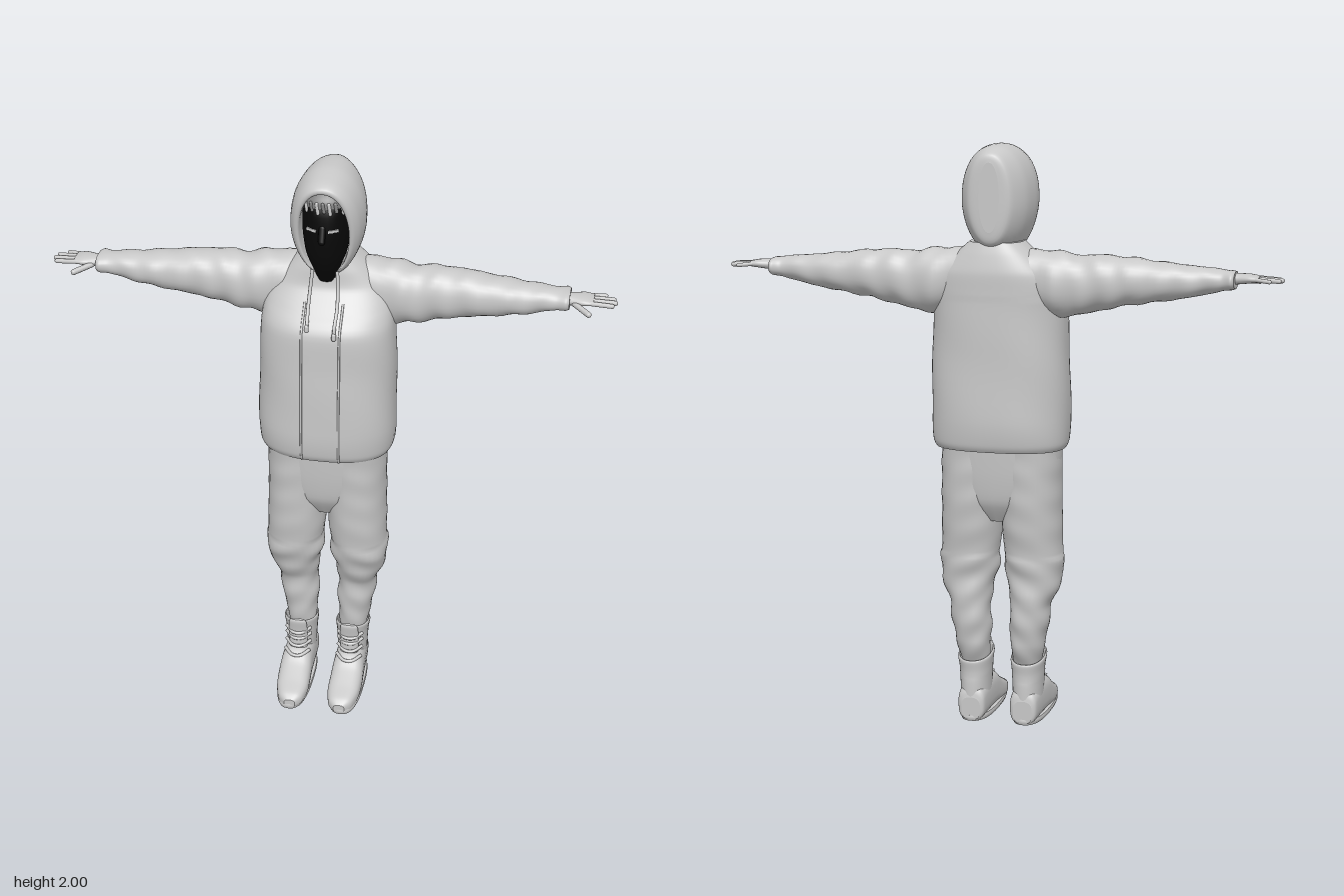
import * as THREE from 'three';

const mat = (name, color) => Object.assign(new THREE.MeshStandardMaterial({ color }), { name });

// Smooth interpolation through rows of numbers, t from 0 to rows.length - 1
function sample(rows, t) {
  const i = Math.min(Math.floor(t), rows.length - 2), f = t - i;
  const at = k => rows[Math.max(0, Math.min(rows.length - 1, k))];
  const [a, b, c, d] = [at(i - 1), at(i), at(i + 1), at(i + 2)];
  return b.map((_, k) => {
    const m0 = (c[k] - a[k]) * 0.4, m1 = (d[k] - b[k]) * 0.4, f2 = f * f, f3 = f2 * f;
    return (2 * f3 - 3 * f2 + 1) * b[k] + (f3 - 2 * f2 + f) * m0 + (3 * f2 - 2 * f3) * c[k] + (f3 - f2) * m1;
  });
}

// Rounded cross-sections along an axis: [position, centreU, centreV, radiusU, radiusV]
// (u,v) = (y,z) along x, (z,x) along y, (x,y) along z
function loft(axis, rows, { n = 2.2, seg = 32, steps = 5, wave = () => 0, bend = () => {} } = {}) {
  const pos = [], idx = [], total = (rows.length - 1) * steps, p = new THREE.Vector3();
  const put = (w, u, v) => {
    if (axis === 'x') p.set(w, u, v);
    else if (axis === 'y') p.set(v, w, u);
    else p.set(u, v, w);
    bend(p);
    pos.push(p.x, p.y, p.z);
  };
  const pw = x => Math.sign(x) * Math.abs(x) ** (2 / n);
  for (let i = 0; i <= total; i++) {
    const [w, cu, cv, ru, rv] = sample(rows, i / steps);
    for (let j = 0; j < seg; j++) {
      const a = j / seg * Math.PI * 2, s = 1 + wave(w, a);
      put(w, cu + ru * s * pw(Math.cos(a)), cv + rv * s * pw(Math.sin(a)));
    }
  }
  for (let i = 0; i < total; i++) for (let j = 0; j < seg; j++) {
    const a = i * seg + j, b = i * seg + (j + 1) % seg;
    idx.push(a, b, b + seg, a, b + seg, a + seg);
  }
  // end caps with their own vertices, so the rims stay crisp
  for (const end of [0, 1]) {
    const from = end * total * seg, base = pos.length / 3, r = rows[end ? rows.length - 1 : 0];
    for (let j = 0; j < seg * 3; j++) pos.push(pos[from * 3 + j]);
    put(r[0], r[1], r[2]);
    for (let j = 0; j < seg; j++) {
      const a = base + j, b = base + (j + 1) % seg, c = base + seg;
      idx.push(...(end ? [a, b, c] : [b, a, c]));
    }
  }
  const g = new THREE.BufferGeometry();
  g.setAttribute('position', new THREE.Float32BufferAttribute(pos, 3));
  g.setIndex(idx);
  g.computeVertexNormals();
  return g;
}

function mirrored(geo) {
  const g = geo.clone(), ix = g.index.array, ps = g.attributes.position;
  for (let i = 0; i < ps.count; i++) {
    ps.setX(i, -ps.getX(i));
    g.attributes.normal.setX(i, -g.attributes.normal.getX(i));
  }
  for (let i = 0; i < ix.length; i += 3) [ix[i], ix[i + 1]] = [ix[i + 1], ix[i]];
  return g;
}

const V = a => new THREE.Vector3(...a);
const tube = (pts, r) => new THREE.TubeGeometry(new THREE.CatmullRomCurve3(pts.map(V)), 24, r, 8);

// Capsule between two points
function finger(a, b, r) {
  const A = V(a), d = V(b).sub(A), len = d.length();
  const g = new THREE.CapsuleGeometry(r, len - r, 5, 10);
  g.applyQuaternion(new THREE.Quaternion().setFromUnitVectors(new THREE.Vector3(0, 1, 0), d.clone().normalize()));
  return g.translate(A.x + d.x / 2, A.y + d.y / 2, A.z + d.z / 2);
}

export function createModel() {
  const model = new THREE.Group();
  const cloth = mat('light grey cloth', 0xc8c8c8);
  const black = mat('black mask', 0x080808);
  const hairGrey = mat('grey hair', 0x808080);
  const add = (name, geo, m = cloth) => {
    const mesh = new THREE.Mesh(geo, m);
    mesh.name = name;
    model.add(mesh);
    return mesh;
  };
  const pair = (name, geo, m) => {
    add('left ' + name, geo, m);
    add('right ' + name, mirrored(geo), m);
  };

  // Jacket body
  const jacket = [
    [0.975, -0.055, 0, 0.155, 0.222], [1.0, -0.055, 0, 0.166, 0.232], [1.08, -0.055, 0, 0.173, 0.236],
    [1.3, -0.058, 0, 0.167, 0.232], [1.45, -0.062, 0, 0.163, 0.226], [1.52, -0.088, 0, 0.137, 0.216],
    [1.58, -0.112, 0, 0.112, 0.19], [1.64, -0.112, 0, 0.1, 0.135], [1.68, -0.11, 0, 0.09, 0.09]];
  const folds = (y, a) => 0.012 * Math.sin(3 * a + y * 14) * Math.sin(y * 9) * (y < 1.5 ? 1 : 0.3);
  add('jacket', loft('y', jacket, { n: 2.5, seg: 64, steps: 6, wave: folds }));

  // Front panel edges follow the chest
  for (const x of [-0.064, 0.064]) {
    const pts = [];
    for (let i = 0; i <= 24; i++) {
      const [y, cz, , rz, rx] = sample(jacket, i / 24 * 5.4);
      const a = Math.acos((1 - Math.abs(x / rx) ** 2.5) ** 0.5) * Math.sign(x);
      pts.push([x, y, cz + rz * (1 + folds(y, a)) * (1 - Math.abs(x / rx) ** 2.5) ** 0.4]);
    }
    add('front panel seam', tube(pts, 0.004));
  }

  // Sleeves with soft wrinkles
  pair('sleeve', loft('x', [
    [0.06, 1.59, -0.12, 0.065, 0.07], [0.2, 1.545, -0.115, 0.108, 0.088], [0.28, 1.54, -0.11, 0.1, 0.084],
    [0.36, 1.55, -0.11, 0.092, 0.08], [0.45, 1.557, -0.108, 0.08, 0.077], [0.6, 1.56, -0.103, 0.06, 0.068],
    [0.7, 1.565, -0.1, 0.046, 0.055], [0.76, 1.57, -0.1, 0.035, 0.05], [0.79, 1.57, -0.102, 0.033, 0.06],
    [0.802, 1.57, -0.1, 0.029, 0.052]],
  { steps: 8, wave: (x, a) => 0.045 * Math.sin(x * 62 + 2 * Math.sin(a)) * Math.sin(a * 2 + x * 9) }));

  // Hands
  pair('palm', loft('x', [
    [0.77, 1.575, -0.095, 0.019, 0.028], [0.81, 1.575, -0.093, 0.018, 0.032],
    [0.85, 1.577, -0.095, 0.015, 0.042], [0.88, 1.576, -0.095, 0.01, 0.038]], { seg: 20 }));
  const fingers = [[-0.127, -0.14, 0.92, 0.007], [-0.106, -0.115, 0.948, 0.008],
    [-0.085, -0.09, 0.955, 0.0085], [-0.064, -0.066, 0.945, 0.008]];
  for (const [z0, z1, tip, r] of fingers) pair('finger', finger([0.865, 1.577, z0], [tip, 1.572, z1], r));
  pair('thumb', finger([0.815, 1.57, -0.07], [0.872, 1.56, -0.012], 0.01));

  // Trousers
  add('trouser hips', loft('y', [[0.72, -0.05, 0, 0.075, 0.05], [0.79, -0.05, 0, 0.115, 0.16],
    [0.88, -0.05, 0, 0.13, 0.202], [0.99, -0.05, 0, 0.138, 0.208]], { n: 2.4 }));
  pair('trouser leg', loft('y', [
    [0.21, -0.06, 0.095, 0.05, 0.048], [0.28, -0.068, 0.097, 0.068, 0.058], [0.35, -0.07, 0.103, 0.074, 0.067],
    [0.42, -0.07, 0.108, 0.08, 0.069], [0.48, -0.055, 0.115, 0.09, 0.086], [0.54, -0.048, 0.116, 0.1, 0.1],
    [0.61, -0.045, 0.112, 0.107, 0.1], [0.7, -0.047, 0.107, 0.118, 0.103], [0.8, -0.05, 0.105, 0.125, 0.103],
    [0.9, -0.05, 0.102, 0.13, 0.105], [0.98, -0.05, 0.1, 0.134, 0.105]],
  { steps: 7, wave: (y, a) => (y < 0.6 ? 0.05 : 0.012) * Math.sin(y * 58 + 2 * Math.sin(a)) * Math.sin(a * 2 + 1) }));

  // Boots: foot, sole, ankle shaft with an open rim, tongue and laces
  pair('boot foot', loft('z', [
    [-0.13, 0.093, 0.045, 0.034, 0.04], [-0.115, 0.093, 0.06, 0.048, 0.06], [-0.03, 0.094, 0.073, 0.053, 0.073],
    [0.05, 0.095, 0.07, 0.056, 0.07], [0.1, 0.095, 0.053, 0.058, 0.053], [0.16, 0.093, 0.038, 0.056, 0.038],
    [0.21, 0.091, 0.029, 0.042, 0.027], [0.232, 0.09, 0.023, 0.02, 0.016]], { n: 2.8 }));
  pair('boot sole', loft('y', [[0, 0.051, 0.094, 0.18, 0.056], [0.01, 0.051, 0.094, 0.184, 0.06],
    [0.02, 0.051, 0.094, 0.182, 0.058]], { n: 2.6, steps: 2 }));
  pair('boot shaft', loft('y', [
    [0.04, -0.05, 0.094, 0.08, 0.05], [0.12, -0.047, 0.094, 0.082, 0.052], [0.19, -0.046, 0.094, 0.08, 0.056],
    [0.228, -0.045, 0.095, 0.085, 0.061], [0.232, -0.045, 0.095, 0.078, 0.054], [0.2, -0.045, 0.095, 0.07, 0.048]],
  { bend: p => { if (p.y > 0.15) p.y += (p.z + 0.045) * 0.22; } }));
  pair('boot tongue', loft('y', [[0.13, 0.03, 0.094, 0.02, 0.032], [0.2, 0.032, 0.094, 0.014, 0.034],
    [0.25, 0.042, 0.094, 0.011, 0.032], [0.262, 0.044, 0.094, 0.006, 0.024]], { seg: 16 }));
  for (const [y, z] of [[0.125, 0.075], [0.15, 0.05], [0.18, 0.045], [0.205, 0.047]]) {
    pair('boot lace', tube([[0.05, y + 0.008, z - 0.03], [0.08, y, z], [0.11, y, z], [0.14, y + 0.008, z - 0.03]], 0.006));
  }

  // Hood: outer shell rolling over the rim into the lining
  const hood = add('hood', loft('z', [
    [-0.222, 0, 1.83, 0.035, 0.115], [-0.212, 0, 1.825, 0.075, 0.15], [-0.15, 0, 1.82, 0.112, 0.176],
    [-0.06, 0, 1.815, 0.124, 0.185], [0.02, 0, 1.805, 0.116, 0.18], [0.055, 0, 1.8, 0.1, 0.168],
    [0.055, 0, 1.792, 0.084, 0.158], [0.0, 0, 1.79, 0.084, 0.155], [-0.06, 0, 1.79, 0.084, 0.15]],
  { n: 2.15, seg: 48, bend: p => {
    if (p.z > -0.15) p.z += (p.y - 1.92) * 0.2 * (p.z + 0.15) / 0.2;
    if (p.y < 1.8) p.x *= 1 - (1.8 - p.y) * 0.5;
  } }));
  hood.name = 'hood';

  // Masked head, nose and eyes
  add('mask', loft('y', [
    [1.61, -0.04, 0, 0.04, 0.03], [1.67, -0.035, 0, 0.075, 0.05], [1.72, -0.03, 0, 0.088, 0.068],
    [1.8, -0.03, 0, 0.094, 0.079], [1.88, -0.034, 0, 0.092, 0.078], [1.93, -0.04, 0, 0.075, 0.065]]), black);
  add('nose', finger([0, 1.835, 0.055], [0, 1.783, 0.075], 0.012), black);
  for (const s of [-1, 1]) {
    const eye = add('eye slit', new THREE.BoxGeometry(0.036, 0.009, 0.008));
    eye.position.set(s * 0.036, 1.822, 0.055);
    eye.rotation.set(0, s * 0.3, s * 0.08);
  }
  // Hair under the hood with short locks on the brow
  add('hair', loft('y', [[1.895, -0.035, 0, 0.093, 0.079], [1.92, -0.038, 0, 0.09, 0.076],
    [1.945, -0.045, 0, 0.07, 0.055], [1.955, -0.05, 0, 0.03, 0.025]]), hairGrey);
  for (let i = -3; i <= 3; i++) {
    const x = i * 0.02, z = 0.056 - x * x * 6;
    add('hair lock', finger([x, 1.915, z - 0.002], [x + 0.006, 1.885 - (i & 1) * 0.008, z], 0.006), i & 1 ? cloth : hairGrey);
  }

  // Drawstrings
  for (const [x, end] of [[-0.045, 1.475], [0.047, 1.452]]) {
    add('drawstring', tube([[x * 0.9, 1.66, 0.015], [x, 1.6, 0.03], [x * 1.05, 1.54, 0.06], [x, 1.49, 0.098], [x, end, 0.108]], 0.006));
    add('drawstring tip', finger([x, end + 0.02, 0.106], [x, end, 0.108], 0.008));
  }
  return model;
}
